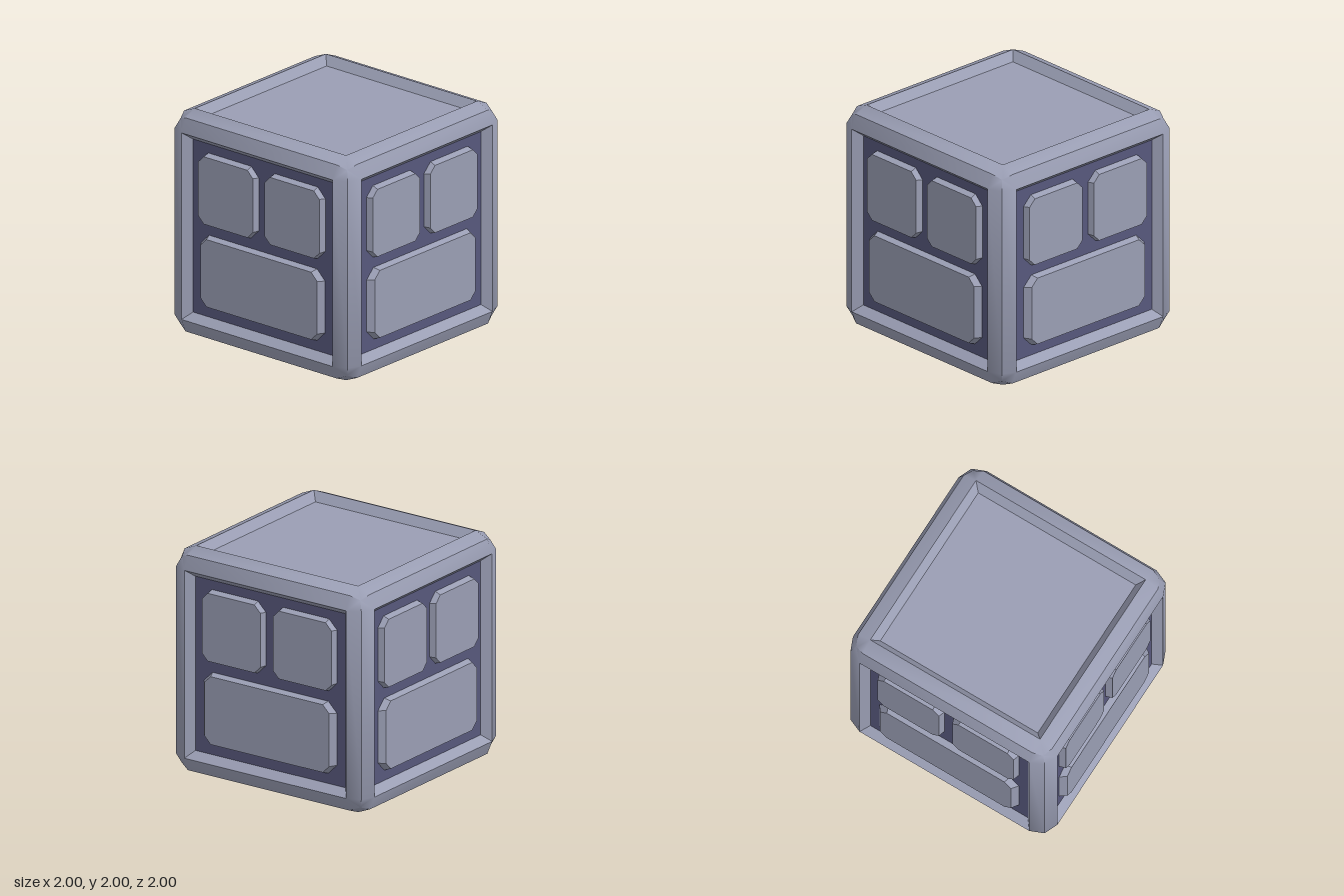
import * as THREE from 'three';
import { mergeGeometries, toCreasedNormals } from 'three/addons/utils/BufferGeometryUtils.js';

const RIM = 0.83, FLOOR = 0.77, DEPTH = 0.925, EDGE = 0.95, CORNER = 0.915;

// Flat polygons (counter-clockwise corner loops) to a geometry
function polygons(loops) {
  const pos = [];
  for (const p of loops)
    for (let i = 1; i < p.length - 1; i++) pos.push(...p[0], ...p[i], ...p[i + 1]);
  const g = new THREE.BufferGeometry();
  g.setAttribute('position', new THREE.Float32BufferAttribute(pos, 3));
  g.computeVertexNormals();
  return g;
}

// One side of the square frame: sloped rim, corner facet and inner wall
function frameSide() {
  return polygons([
    [[-RIM, RIM, 1], [RIM, RIM, 1], [RIM, EDGE, EDGE], [-RIM, EDGE, EDGE]],
    [[RIM, RIM, 1], [EDGE, RIM, EDGE], [CORNER, CORNER, CORNER], [RIM, EDGE, EDGE]],
    [[-FLOOR, FLOOR, DEPTH], [FLOOR, FLOOR, DEPTH], [RIM, RIM, 1], [-RIM, RIM, 1]],
  ]);
}

// Rectangle with cut corners, as a loop at height z
function octagon(x0, x1, y0, y1, c, z) {
  return [[x0 + c, y0, z], [x1 - c, y0, z], [x1, y0 + c, z], [x1, y1 - c, z],
    [x1 - c, y1, z], [x0 + c, y1, z], [x0, y1 - c, z], [x0, y0 + c, z]];
}

// Raised block with tapered sides
function block(x0, x1, y0, y1, insetX, insetY, cut) {
  const base = octagon(x0, x1, y0, y1, cut + 0.025, DEPTH - 0.005);
  const top = octagon(x0 + insetX, x1 - insetX, y0 + insetY, y1 - insetY, cut, 0.98);
  const loops = [top];
  base.forEach((p, i) => {
    const j = (i + 1) % 8;
    loops.push([p, base[j], top[j], top[i]]);
  });
  return polygons(loops);
}

export function createModel() {
  const stone = new THREE.MeshStandardMaterial({ color: 0x9a9eb4 });
  stone.name = 'greyStone';
  const mortar = new THREE.MeshStandardMaterial({ color: 0x57587c });
  mortar.name = 'darkMortar';

  const model = new THREE.Group();
  model.name = 'brickCube';
  const add = (parent, name, geometry, material) => {
    const m = new THREE.Mesh(geometry, material);
    m.name = name;
    parent.add(m);
    return m;
  };

  // Rounded frame around all six faces
  const turns = [0, 1, 2, 3].map((k) => new THREE.Matrix4().makeRotationY(k * Math.PI / 2));
  turns.push(new THREE.Matrix4().makeRotationX(-Math.PI / 2), new THREE.Matrix4().makeRotationX(Math.PI / 2));
  const parts = [];
  for (const turn of turns)
    for (let k = 0; k < 4; k++)
      parts.push(frameSide().rotateZ(k * Math.PI / 2).applyMatrix4(turn));
  const frame = toCreasedNormals(mergeGeometries(parts), 0.65);
  add(model, 'frame', frame, stone).position.y = 1;

  // Recessed panels: plain on top and bottom, dark with three blocks on the sides
  const panel = new THREE.PlaneGeometry(2 * FLOOR, 2 * FLOOR).translate(0, 0, DEPTH);
  const leftBlock = block(-0.685, -0.045, 0.05, 0.69, 0.02, 0.02, 0.06);
  const rightBlock = block(0.045, 0.685, 0.05, 0.69, 0.02, 0.02, 0.06);
  const longBlock = block(-0.685, 0.685, -0.68, -0.04, 0.045, 0.02, 0.065);
  const names = ['front', 'left', 'back', 'right', 'top', 'bottom'];
  turns.forEach((turn, i) => {
    const side = new THREE.Group();
    side.name = names[i] + 'Face';
    side.quaternion.setFromRotationMatrix(turn);
    side.position.y = 1;
    add(side, 'panel', panel, i < 4 ? mortar : stone);
    if (i < 4) {
      add(side, 'upperBlockA', leftBlock, stone);
      add(side, 'upperBlockB', rightBlock, stone);
      add(side, 'lowerBlock', longBlock, stone);
    }
    model.add(side);
  });
  return model;
}
